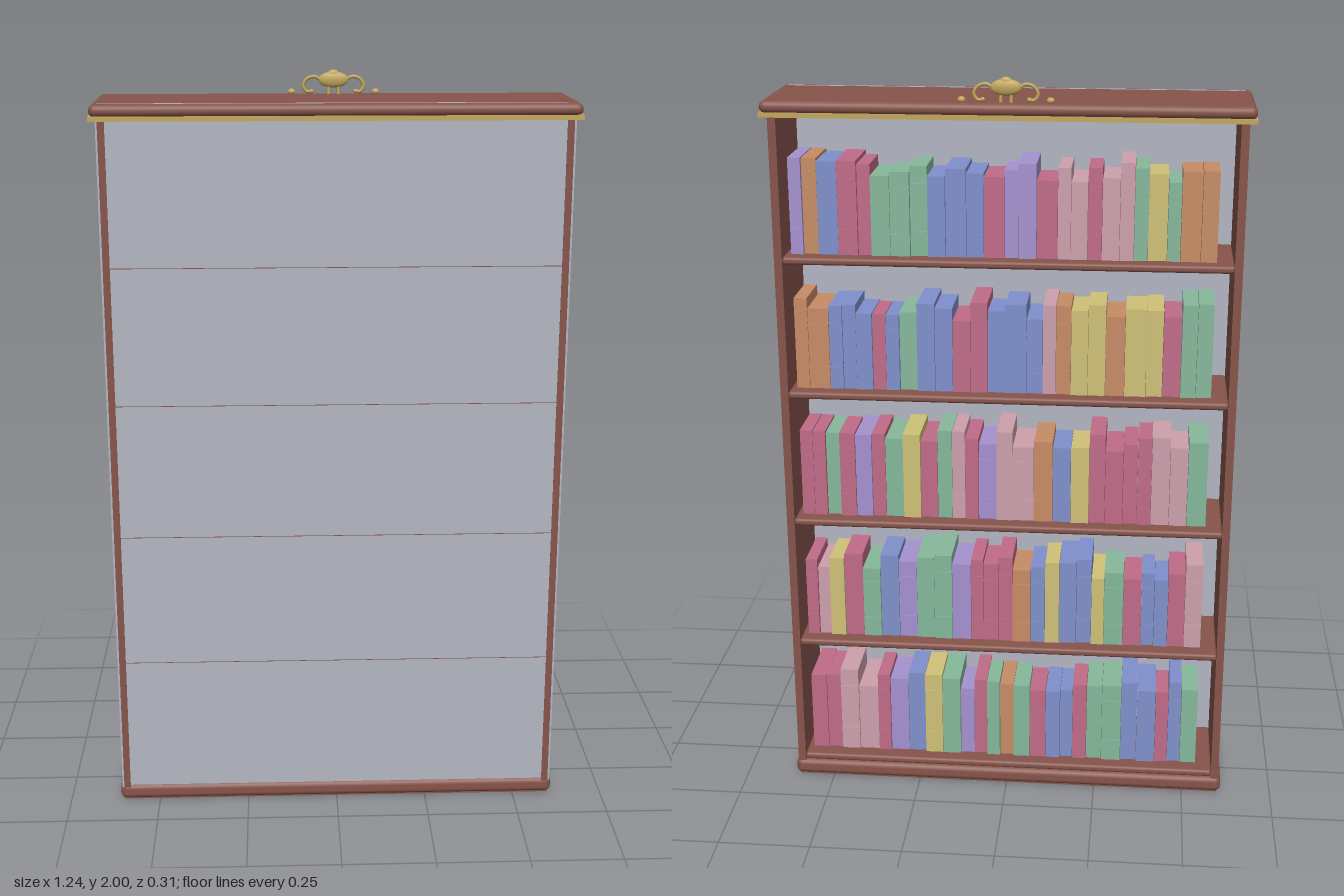
import * as THREE from 'three';
import { RoundedBoxGeometry } from 'three/addons/geometries/RoundedBoxGeometry.js';

export function createModel() {
  const model = new THREE.Group();
  model.name = 'bookcase';

  const material = (name, color) => {
    const m = new THREE.MeshStandardMaterial({ color });
    m.name = name;
    return m;
  };
  const wood = material('mahogany', 0x86544a);
  const grey = material('grey backing', 0xb3b6c2);
  const gold = material('brass', 0xc2a75c);
  const bookColours = {
    r: material('rose cloth', 0xc06c88),
    b: material('blue cloth', 0x8090cc),
    g: material('green cloth', 0x86b99c),
    y: material('yellow cloth', 0xcfc278),
    o: material('orange cloth', 0xc88d66),
    u: material('purple cloth', 0xa592d0),
    p: material('pink cloth', 0xcda0ac),
  };

  const add = (name, geometry, mat, x, y, z, parent = model) => {
    const mesh = new THREE.Mesh(geometry, mat);
    mesh.name = name;
    mesh.position.set(x, y, z);
    parent.add(mesh);
    return mesh;
  };
  // Box given by its extents on each axis
  const block = (name, mat, x0, x1, y0, y1, z0, z1, parent) =>
    add(name, new THREE.BoxGeometry(x1 - x0, y1 - y0, z1 - z0), mat,
      (x0 + x1) / 2, (y0 + y1) / 2, (z0 + z1) / 2, parent);

  // Plinth and cornice
  add('plinth', new RoundedBoxGeometry(1.22, 0.044, 0.276, 4, 0.016), wood, 0, 0.024, 0);
  block('plinthFoot', wood, -0.6, 0.6, 0, 0.01, -0.13, 0.13);
  add('corniceTop', new RoundedBoxGeometry(1.24, 0.032, 0.304, 4, 0.0155), wood, 0, 1.921, -0.001);
  block('corniceBoard', wood, -0.6, 0.6, 1.893, 1.91, -0.13, 0.13);
  block('corniceTrim', gold, -0.621, 0.621, 1.896, 1.908, -0.154, 0.153);

  // Side walls, with the ends of the backing showing at the front corners
  for (const s of [-1, 1]) {
    const side = s < 0 ? 'right' : 'left';
    add(side + 'Side', new THREE.BoxGeometry(0.018, 1.9, 0.268), wood, s * 0.591, 0.9874, 0.002);
    add(side + 'SideOuter', new THREE.BoxGeometry(0.004, 1.86, 0.26), wood, s * 0.601, 0.97, -0.002);
    add(side + 'EdgeStrip', new THREE.BoxGeometry(0.006, 1.86, 0.007), grey, s * 0.602, 0.97, 0.1315);
  }

  // Backing, and the shelves whose edges show through it as fine lines
  block('backPanel', grey, -0.583, 0.583, 0.046, 1.9, 0.12, 0.135);
  block('backPanelTopEdge', grey, -0.6, 0.6, 1.91, 1.9378, 0.121, 0.128);
  const pitch = 0.367, firstShelf = 0.054;
  for (let i = 0; i < 5; i++) {
    const y = firstShelf + i * pitch;
    add('shelf', new RoundedBoxGeometry(1.168, 0.02, 0.252, 3, 0.008), wood, 0, y, -0.002);
    if (i) block('shelfLine', wood, -0.583, 0.583, y - 0.0008, y + 0.0008, 0.12, 0.1354);
  }

  // Books, listed from the top row down, from the model's left to its right
  let seed = 17;
  const random = () => (seed = (seed * 16807) % 2147483647) / 2147483647;
  const rows = [
    'uobrrgggbbbruurpprppgygoo',
    'oobbbrbgbbrrbbbpoyyoyyrgg',
    'rrgrurgyrgpruppobyrrrrppg',
    'rpyrgbuggurrrobybbygrbbrp',
    'rrpprubygurgogrbbrggbbrbg',
  ];
  rows.forEach((row, r) => {
    const shelf = new THREE.Group();
    shelf.name = 'bookRow';
    model.add(shelf);
    const floor = firstShelf + (4 - r) * pitch + 0.01;
    const widths = [...row].map(() => 0.75 + 0.5 * random());
    const scale = 1.105 / widths.reduce((a, b) => a + b);
    let x = 0.566;
    [...row].forEach((c, i) => {
      const w = widths[i] * scale, h = 0.195 + 0.06 * random(), d = 0.13 + 0.04 * random();
      const front = -0.09 + 0.01 * random();
      const mat = bookColours[c];
      block('book', mat, x - w + 0.001, x, floor, floor + h, front, front + d, shelf);
      // Raised spine bands on some books
      if (random() < 0.3) {
        for (const t of [0.25, 0.78]) {
          const y = floor + h * t;
          block('spineBand', mat, x - w + 0.001, x, y, y + 0.006, front - 0.003, front, shelf);
        }
      }
      x -= w;
    });
  });

  // Brass crest with scrolls and beads
  const crest = new THREE.Group();
  crest.name = 'crest';
  crest.position.set(0, 0, -0.125);
  model.add(crest);
  const boss = new THREE.SphereGeometry(1, 20, 12);
  add('boss', boss, gold, 0, 1.974, 0, crest).scale.set(0.04, 0.021, 0.011);
  add('bossTip', boss, gold, 0, 1.988, 0, crest).scale.set(0.016, 0.012, 0.008);
  for (const s of [-1, 1]) {
    const arc = new THREE.CatmullRomCurve3([
      [0.03, 1.972], [0.05, 1.982], [0.07, 1.976], [0.08, 1.958], [0.07, 1.943], [0.058, 1.944],
    ].map(([x, y]) => new THREE.Vector3(s * x, y, 0)));
    add('scroll', new THREE.TubeGeometry(arc, 24, 0.0045, 8), gold, 0, 0, 0, crest);
    add('scrollEnd', new THREE.SphereGeometry(0.006, 10, 8), gold, s * 0.058, 1.944, 0, crest);
    add('bead', boss, gold, s * 0.111, 1.943, 0, crest).scale.set(0.01, 0.008, 0.007);
    add('crestLeg', new THREE.CylinderGeometry(0.004, 0.005, 0.03, 8), gold, s * 0.013, 1.946, 0, crest);
  }
  return model;
}
